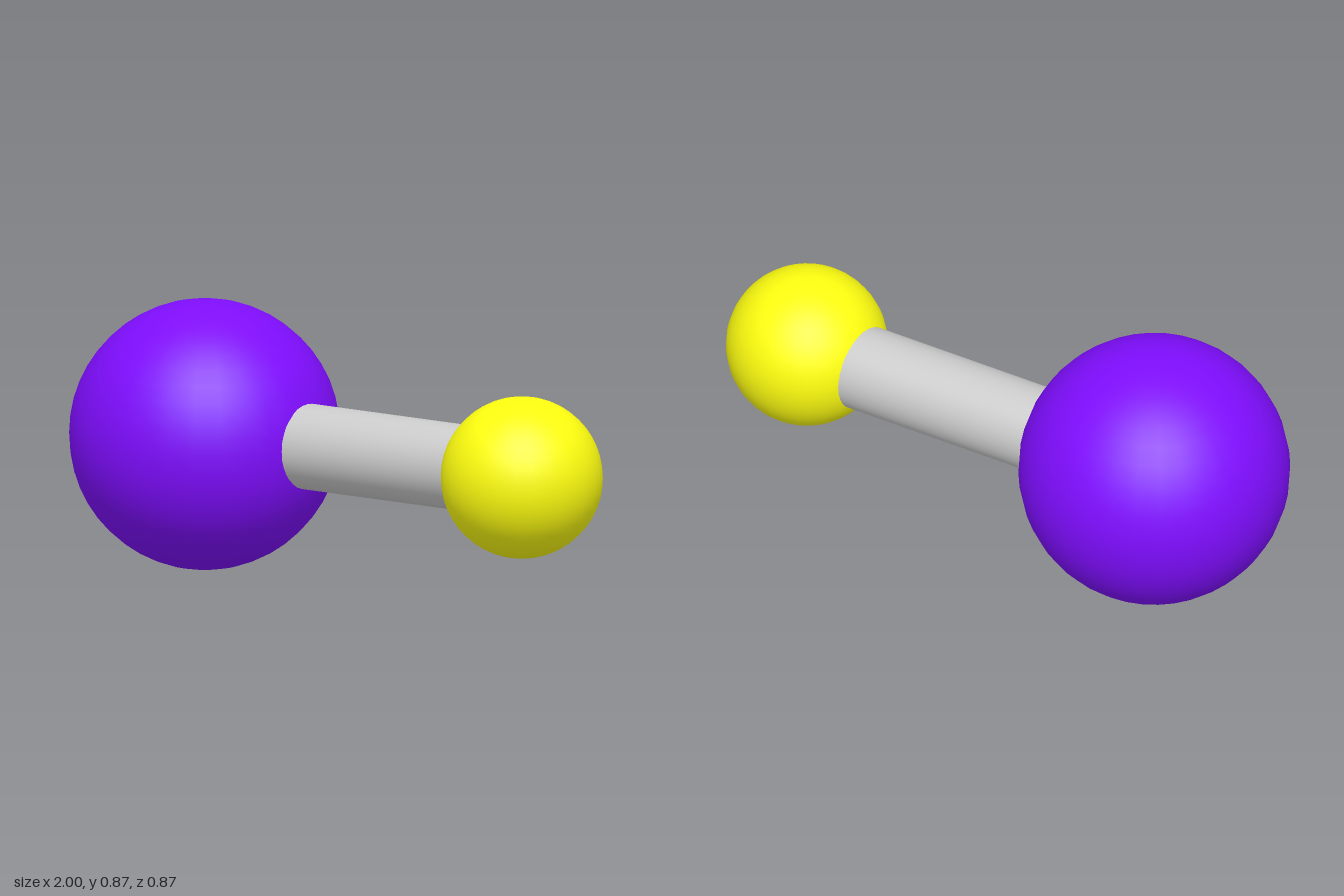
import * as THREE from 'three';

function ball(name, radius, color, x, y, z) {
  const mesh = new THREE.Mesh(
    new THREE.SphereGeometry(radius, 32, 24),
    new THREE.MeshStandardMaterial({ color })
  );
  mesh.name = name;
  mesh.position.set(x, y, z);
  return mesh;
}

export function createModel() {
  const group = new THREE.Group();
  group.name = 'ballAndStick';

  // Two balls of different size
  group.add(ball('largeBall', 0.437, 0x7f0dff, -0.563, 0.44, 0));
  group.add(ball('smallBall', 0.261, 0xffff10, 0.739, 0.441, 0.007));

  // Rod running between the balls, ends buried inside them
  const rod = new THREE.Mesh(
    new THREE.CylinderGeometry(0.138, 0.138, 1.0, 32),
    new THREE.MeshStandardMaterial({ color: 0xcccccc })
  );
  rod.name = 'rod';
  rod.rotation.z = Math.PI / 2;
  rod.position.set(0.15, 0.443, -0.01);
  group.add(rod);

  return group;
}
